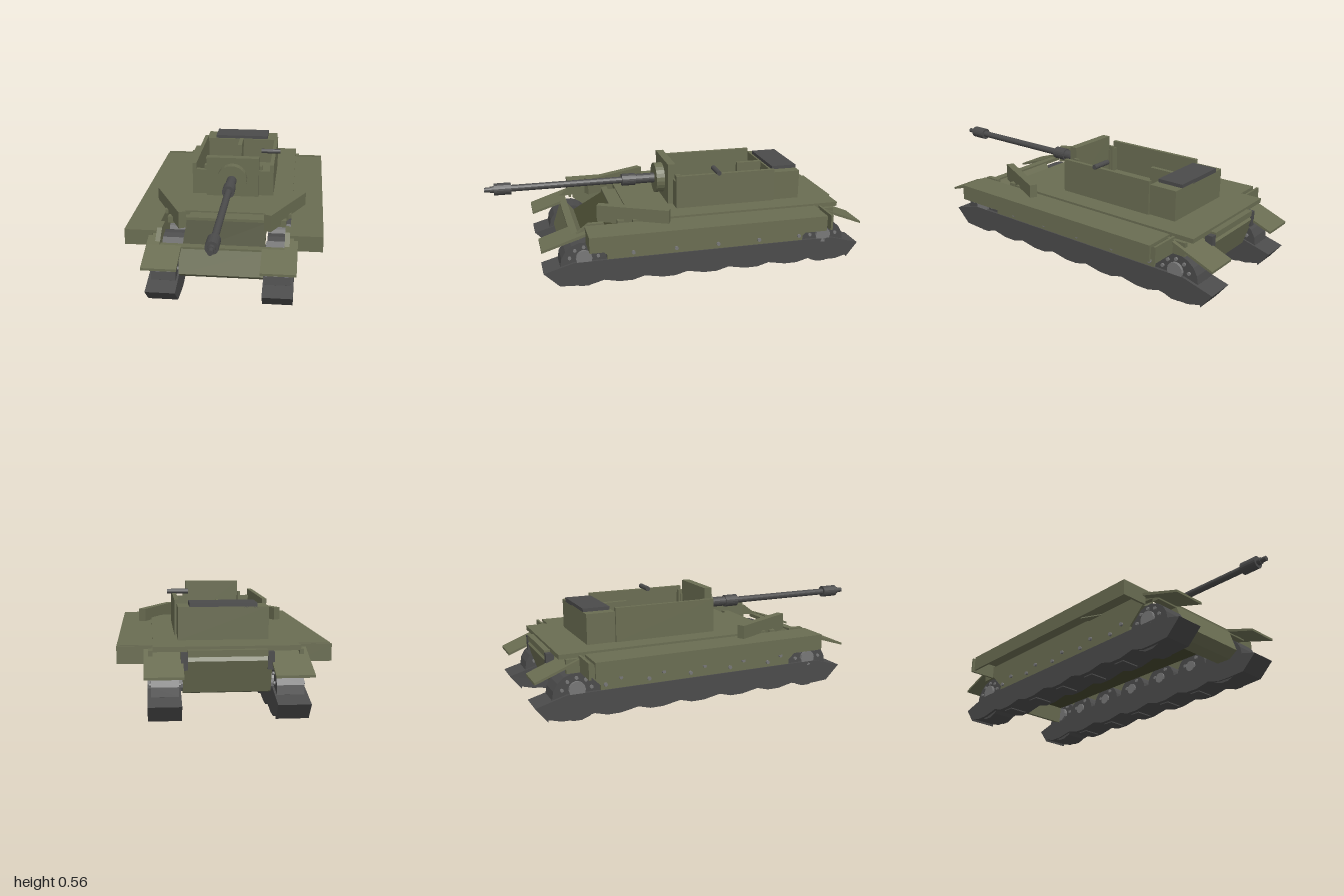
import * as THREE from 'three';

const olive = new THREE.MeshStandardMaterial({ color: 0x6a6d52, flatShading: true });
const darkOlive = new THREE.MeshStandardMaterial({ color: 0x45472f, flatShading: true });
const iron = new THREE.MeshStandardMaterial({ color: 0x4b4b4b, flatShading: true });
const steel = new THREE.MeshStandardMaterial({ color: 0x777777, flatShading: true });

export function createModel() {
  const model = new THREE.Group();
  model.name = 'armouredVehicle';

  const add = (name, geometry, material = olive) => {
    const mesh = new THREE.Mesh(geometry, material);
    mesh.name = name;
    model.add(mesh);
    return mesh;
  };
  // Box given by its extents
  const box = (name, x0, x1, y0, y1, z0, z1, material) => {
    const g = new THREE.BoxGeometry(x1 - x0, y1 - y0, z1 - z0);
    g.translate((x0 + x1) / 2, (y0 + y1) / 2, (z0 + z1) / 2);
    return add(name, g, material);
  };
  // Side profile of [z, y] points, extruded across x
  const profile = (name, points, x0, x1, material) => {
    const shape = new THREE.Shape(points.map(([z, y]) => new THREE.Vector2(z, y)));
    const g = new THREE.ExtrudeGeometry(shape, { depth: x1 - x0, bevelEnabled: false });
    g.rotateY(-Math.PI / 2).translate(x1, 0, 0);
    return add(name, g, material);
  };
  const rodZ = (name, r, y, z0, z1, material = iron, sides = 20) => {
    const g = new THREE.CylinderGeometry(r, r, z1 - z0, sides);
    g.rotateX(Math.PI / 2).translate(0, y, (z0 + z1) / 2);
    return add(name, g, material);
  };
  const rodX = (name, r, x0, x1, y, z, material = iron, sides = 18) => {
    const g = new THREE.CylinderGeometry(r, r, Math.abs(x1 - x0), sides);
    g.rotateZ(Math.PI / 2).translate((x0 + x1) / 2, y, z);
    return add(name, g, material);
  };

  // Hull
  box('deck', -0.335, 0.335, 0.31, 0.333, -0.87, 0.27);
  box('belly', -0.2, 0.2, 0.2, 0.22, -0.82, 0.5, darkOlive);
  profile('lowerNose', [[0.5, 0.105], [0.58, 0.105], [0.63, 0.14], [0.59, 0.26], [0.55, 0.26], [0.5, 0.2]], -0.21, 0.21);
  box('noseBar', -0.335, 0.335, 0.25, 0.27, 0.55, 0.59);
  profile('glacis', [[0.345, 0.31], [0.54, 0.2], [0.51, 0.2], [0.315, 0.31]], -0.21, 0.21, darkOlive);
  box('glacisBar', -0.31, 0.31, 0.29, 0.325, 0.31, 0.345);
  box('frontDeckStrip', -0.2, 0.2, 0.3, 0.325, 0.26, 0.32);
  profile('tail', [[-0.87, 0.31], [-0.9, 0.27], [-0.85, 0.12], [-0.8, 0.105], [-0.78, 0.31]], -0.2, 0.2);
  box('tailBar', -0.18, 0.18, 0.29, 0.32, -0.9, -0.86);

  // Running gear and fenders, mirrored
  const wheelZ = [0.313, 0.083, -0.147, -0.377, -0.607];
  for (const s of [-1, 1]) {
    const side = s > 0 ? 'left' : 'right';
    const span = (a, b) => (s > 0 ? [a, b] : [-b, -a]);

    // Track band with a sagging foot under every wheel
    const track = [[-0.84, 0.135], [-1, 0.09], [-0.94, 0.012]];
    for (const z of [-0.837, ...[...wheelZ].reverse(), 0.53])
      track.push([z - 0.1, 0.024], [z - 0.035, 0.006], [z + 0.035, 0.006]);
    track.push([0.66, 0.012], [0.74, 0.09], [0.58, 0.135]);
    profile(side + 'Track', track, ...span(0.21, 0.36), iron);
    for (const z of wheelZ)
      box(side + 'TrackPad', ...span(0.235, 0.335), 0, 0.01, z - 0.03, z + 0.03, iron);

    // End sprockets with hubs and bolt rings
    for (const z of [0.53, -0.79]) {
      rodX(side + 'Sprocket', 0.123, s * 0.22, s * 0.345, 0.115, z);
      rodX(side + 'SprocketHub', 0.042, s * 0.2, s * 0.36, 0.155, z, steel, 14);
      for (let i = 0; i < 5; i++) {
        const a = Math.PI * (0.1 + 0.2 * i);
        rodX(side + 'SprocketBolt', 0.009, s * 0.21, s * 0.354, 0.135 + 0.078 * Math.sin(a), z + 0.078 * Math.cos(a), steel, 8);
      }
    }
    // Road wheels
    for (const z of wheelZ) {
      rodX(side + 'RoadWheel', 0.1, s * 0.215, s * 0.34, 0.13, z);
      rodX(side + 'RoadWheelHub', 0.03, s * 0.205, s * 0.345, 0.15, z, steel, 12);
      for (const [dz, y] of [[0.04, 0.19], [-0.04, 0.163]])
        rodX(side + 'WheelBolt', 0.01, s * 0.207, s * 0.366, y, z + dz, steel, 8);
    }
    // Hull side plate, trimmed around the sprockets
    profile(side + 'SidePlate', [[0.41, 0.125], [0.41, 0.16], [0.5, 0.245], [0.5, 0.31], [-0.84, 0.31], [-0.84, 0.24],
      [-0.75, 0.24], [-0.67, 0.16], [-0.67, 0.125]], ...span(0.335, 0.355));

    // Fender trough
    box(side + 'FenderTop', ...span(0.335, 0.5), 0.308, 0.322, -0.74, 0.52);
    box(side + 'FenderLip', ...span(0.488, 0.5), 0.24, 0.322, -0.74, 0.52);
    box(side + 'FenderFront', ...span(0.355, 0.5), 0.24, 0.322, 0.508, 0.52);
    box(side + 'FenderRear', ...span(0.34, 0.5), 0.24, 0.322, -0.773, -0.761);

    // Sloping mudguards
    profile(side + 'FrontMudguard', [[0.745, 0.21], [0.745, 0.222], [0.585, 0.275], [0.585, 0.26]], ...span(0.2, 0.375));
    profile(side + 'FrontMudguardStrip', [[0.6, 0.255], [0.6, 0.27], [0.46, 0.315], [0.46, 0.3]], ...span(0.31, 0.375));
    profile(side + 'FrontMudguardRib', [[0.585, 0.265], [0.5, 0.33], [0.42, 0.33], [0.42, 0.28]], ...span(0.31, 0.335));
    profile(side + 'RearMudguard', [[-1, 0.21], [-1, 0.222], [-0.78, 0.31], [-0.78, 0.296]], ...span(0.2, 0.375));
    box(side + 'RearBracket', ...span(0.18, 0.21), 0.23, 0.31, -0.9, -0.86, iron);

    // Slanted splash shield on the front deck
    const shield = add(side + 'SplashShield', new THREE.BoxGeometry(0.04, 0.09, 0.385));
    shield.position.set(s * 0.303, 0.347, 0.26);
    shield.rotation.y = -s * 0.46;

    // Fighting compartment walls
    box(side + 'CompartmentWall', ...span(0.205, 0.226), 0.333, 0.51, -0.54, 0.01);
    box(side + 'CompartmentFront', ...span(0.14, 0.206), 0.333, 0.475, -0.015, 0.01);
    box(side + 'FrontWallPost', ...span(0.145, 0.16), 0.333, 0.498, -0.03, 0.0);
  }

  // Open fighting compartment
  box('compartmentFloor', -0.206, 0.206, 0.333, 0.342, -0.54, 0);
  box('rearBox', -0.215, 0.215, 0.333, 0.49, -0.69, -0.54);
  box('rearHatch', -0.16, 0.16, 0.485, 0.508, -0.69, -0.55, iron);
  box('divider', -0.012, 0.012, 0.342, 0.495, -0.545, -0.4);
  rodX('sideHandle', 0.013, 0.143, 0.253, 0.52, -0.217, iron, 12);

  // Gun
  box('gunShield', -0.145, 0.145, 0.333, 0.555, -0.005, 0.037);
  rodZ('mantlet', 0.082, 0.442, 0.035, 0.083, olive, 24);
  rodZ('gunCollar', 0.027, 0.442, 0.08, 0.2);
  rodZ('gunSleeve', 0.033, 0.442, 0.19, 0.265);
  rodZ('barrel', 0.018, 0.442, 0.26, 0.97);
  rodZ('muzzleBrake', 0.032, 0.442, 0.86, 0.95);
  rodZ('muzzle', 0.013, 0.442, 0.965, 1);

  return model;
}
